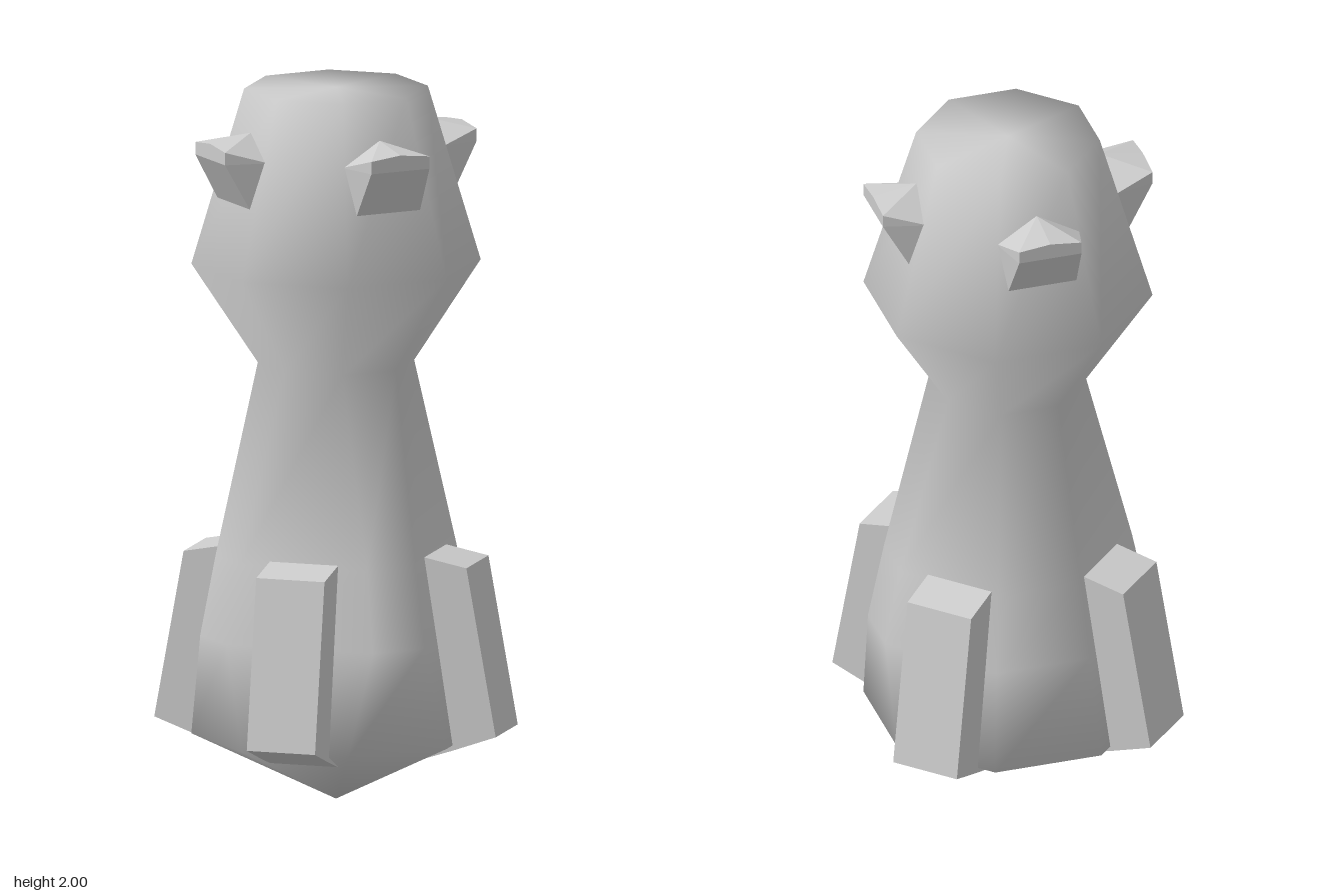
import * as THREE from 'three';
import { ConvexGeometry } from 'three/addons/geometries/ConvexGeometry.js';

const stone = new THREE.MeshStandardMaterial({ color: 0xcccccc });
stone.name = 'pale grey';

// Eight-sided ring: f = distance of front and side panels, d = of back and diagonal panels
function ring(y, f, d) {
  const pts = [];
  const reach = [f, f, d, f]; // front, left, back, right
  for (let k = 0; k < 4; k++) {
    const a = reach[k], t = d * Math.SQRT2 - a, ang = k * Math.PI / 2;
    const s = Math.sin(ang), c = Math.cos(ang);
    for (const u of [-t, t]) pts.push([a * s + u * c, y, a * c - u * s]);
  }
  return pts;
}

// Smooth closed loft from the bottom tip to the flat top
function bodyGeometry() {
  const rings = [
    ring(0.19, 0.37, 0.37),
    ring(0.48, 0.38, 0.325),
    ring(0.70, 0.335, 0.29),
    ring(1.23, 0.20, 0.20),
    ring(1.51, 0.37, 0.37),
    ring(2.0, 0.235, 0.235),
  ];
  const pos = [0, 0, 0], idx = [], n = 8;
  rings.forEach(r => r.forEach(p => pos.push(...p)));
  pos.push(0, 2, 0);
  const at = (r, i) => 1 + r * n + (i % n), last = rings.length - 1;
  for (let i = 0; i < n; i++) {
    idx.push(0, at(0, i + 1), at(0, i));
    for (let r = 0; r < last; r++) {
      idx.push(at(r, i), at(r, i + 1), at(r + 1, i + 1));
      idx.push(at(r, i), at(r + 1, i + 1), at(r + 1, i));
    }
    idx.push(at(last, i), at(last, i + 1), 1 + n * rings.length);
  }
  const g = new THREE.BufferGeometry();
  g.setAttribute('position', new THREE.Float32BufferAttribute(pos, 3));
  g.setIndex(idx);
  g.computeVertexNormals();
  return g;
}

// Fin: side profile (distance, height) given thickness, pointing along +x
function finGeometry() {
  const s = new THREE.Shape([
    [0.25, 0.135], [0.37, 0.175], [0.495, 0.22], [0.41, 0.69], [0.28, 0.715],
  ].map(([x, y]) => new THREE.Vector2(x, y)));
  const g = new THREE.ExtrudeGeometry(s, { depth: 0.198, bevelEnabled: false });
  return g.translate(0, 0, -0.099);
}

// Pod: five-sided bump, facing +z, undercut towards its outer edge
function podGeometry() {
  const pts = [new THREE.Vector3(0, 1.895, 0.265), new THREE.Vector3(0, 1.875, 0.39)];
  for (const s of [-1, 1]) {
    for (const [x, y, z] of [
      [0.10, 1.67, 0.30], [0.10, 1.67, 0.22], [0.12, 1.83, 0.27],
      [0.09, 1.83, 0.39], [0.09, 1.865, 0.39],
    ]) pts.push(new THREE.Vector3(s * x, y, z));
  }
  return new ConvexGeometry(pts);
}

export function createModel() {
  const model = new THREE.Group();
  model.name = 'finnedPillar';
  const add = (geometry, name, turn = 0) => {
    const mesh = new THREE.Mesh(geometry, stone);
    mesh.name = name;
    mesh.rotation.y = turn;
    model.add(mesh);
  };

  add(bodyGeometry(), 'body');

  // Four fins on the diagonals, four pods on the axes
  const fin = finGeometry(), pod = podGeometry();
  const corners = ['backLeft', 'backRight', 'frontRight', 'frontLeft'];
  const sides = ['front', 'left', 'back', 'right'];
  for (let k = 0; k < 4; k++) {
    add(fin, corners[k] + 'Fin', Math.PI / 4 + k * Math.PI / 2);
    add(pod, sides[k] + 'Pod', k * Math.PI / 2);
  }
  return model;
}
